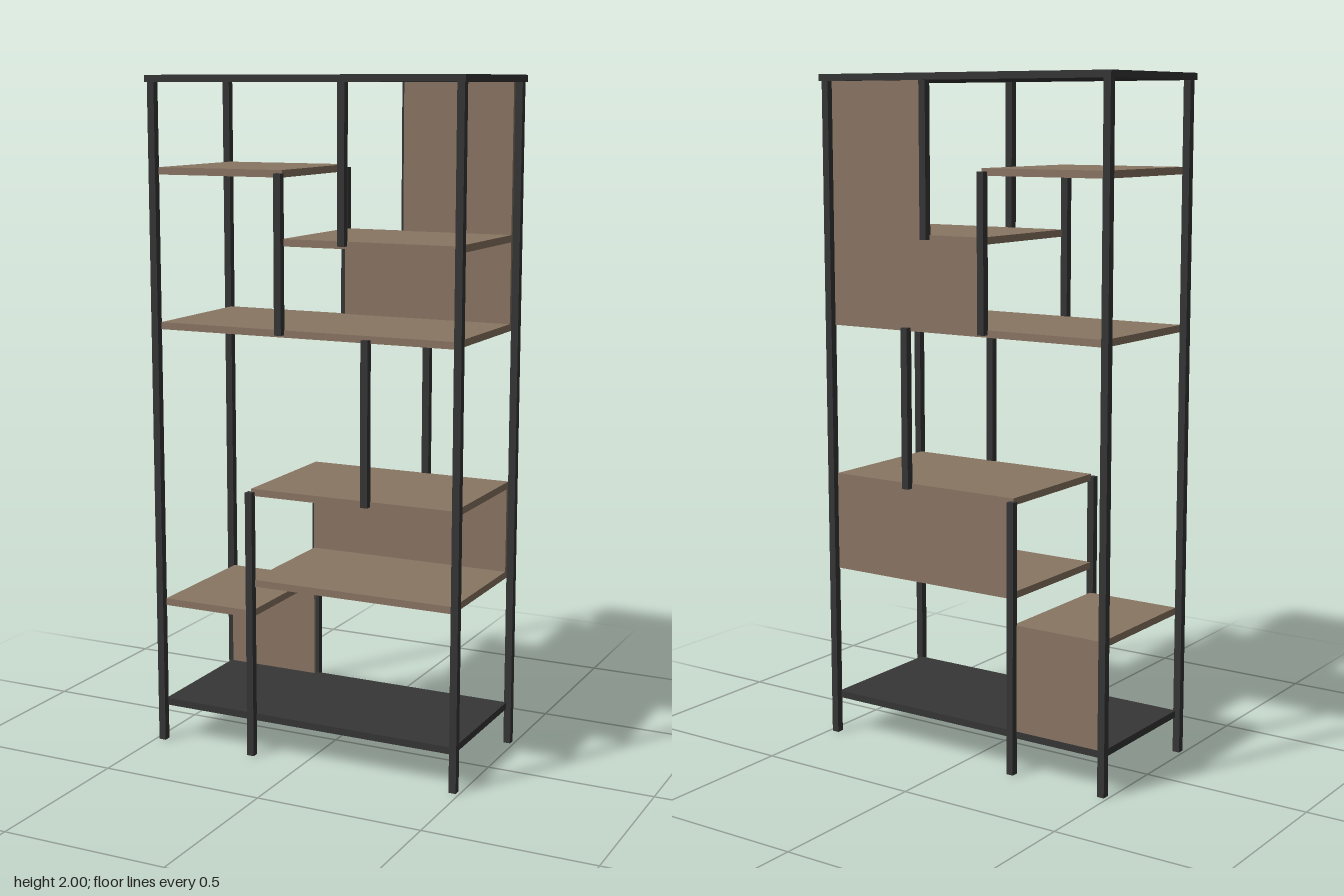
import * as THREE from 'three';

export function createModel() {
  const model = new THREE.Group();
  const metal = new THREE.MeshStandardMaterial({ color: 0x363636 });
  metal.name = 'dark metal';
  const wood = new THREE.MeshStandardMaterial({ color: 0x8a7663 });
  wood.name = 'brown wood';

  // Box given by its limits on each axis
  function box(name, material, x0, x1, y0, y1, z0, z1) {
    const mesh = new THREE.Mesh(new THREE.BoxGeometry(x1 - x0, y1 - y0, z1 - z0), material);
    mesh.position.set((x0 + x1) / 2, (y0 + y1) / 2, (z0 + z1) / 2);
    mesh.name = name;
    model.add(mesh);
  }

  const post = 0.022;      // post width
  const postZ = 0.218;     // post centre, front and back
  const depth = 0.21;      // half depth of the shelves
  const inner = 0.468;     // inner faces of the corner posts
  const thick = 0.021;     // shelf thickness

  // Dark top and bottom boards
  box('topBoard', metal, -0.495, 0.495, 1.98, 2, -0.236, 0.236);
  box('bottomBoard', metal, -0.474, 0.474, 0.107, 0.128, -depth, depth);

  // Posts in front and back pairs: name, x, bottom, top
  const posts = [
    ['rightCornerPost', -0.479, 0, 1.98],
    ['leftCornerPost', 0.479, 0, 1.98],
    ['lowerDividerPost', -0.172, 0, 0.806],
    ['middleDividerPost', 0.199, 0.8, 1.276],
    ['upperDividerPost', -0.072, 1.273, 1.729],
    ['topDividerPost', 0.127, 1.533, 1.98],
  ];
  for (const [name, x, y0, y1] of posts) {
    for (const z of [-postZ, postZ]) {
      box(name + (z > 0 ? 'Front' : 'Back'), metal,
        x - post / 2, x + post / 2, y0, y1, z - post / 2, z + post / 2);
    }
  }

  // Wooden shelves: x limits and underside height
  const shelves = [
    [-inner, -0.172, 0.424],
    [-0.172, inner, 0.52],
    [-0.172, inner, 0.794],
    [-inner, inner, 1.266],
    [-0.065, inner, 1.525],
    [-inner, -0.065, 1.717],
  ];
  for (const [x0, x1, y] of shelves) box('shelf', wood, x0, x1, y, y + thick, -depth, depth);

  // Back panels between shelves: x limits, y limits
  const panels = [
    [-inner, -0.172, 0.128, 0.424],
    [-0.172, inner, 0.541, 0.794],
    [-0.065, inner, 1.287, 1.525],
    [0.127, inner, 1.546, 1.98],
  ];
  for (const [x0, x1, y0, y1] of panels) box('backPanel', wood, x0, x1, y0, y1, -depth, -depth + 0.014);

  return model;
}
